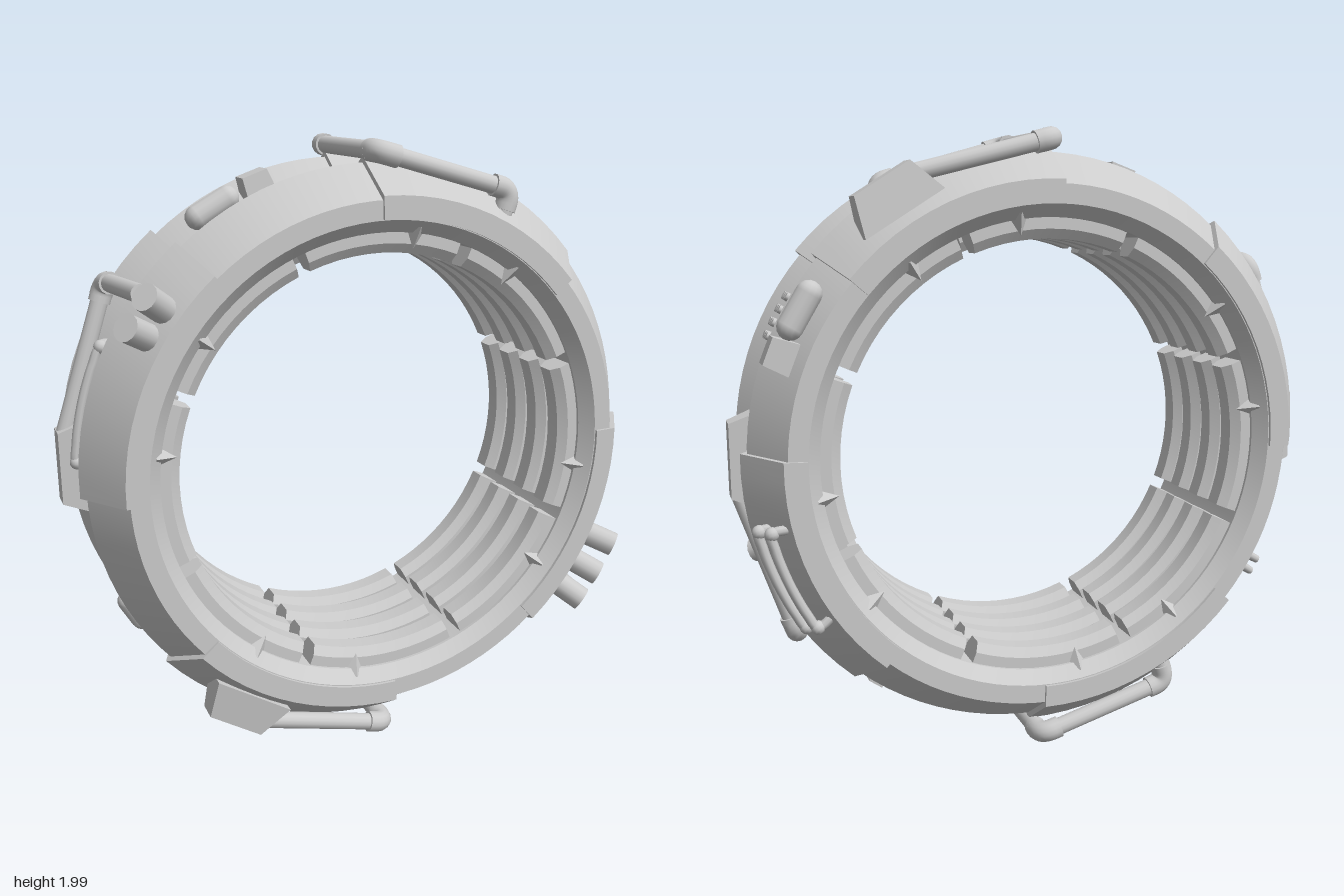
import * as THREE from 'three';
import { toCreasedNormals } from 'three/addons/utils/BufferGeometryUtils.js';

const grey = new THREE.MeshStandardMaterial({ color: 0xcccccc, side: THREE.DoubleSide });
const CY = 1; // height of the ring axis
const rad = THREE.MathUtils.degToRad;
const V = (x, y, z) => new THREE.Vector3(x, y, z);
const polar = (deg, r, z) => V(r * Math.cos(rad(deg)), r * Math.sin(rad(deg)), z);

function add(parent, name, geometry) {
  const m = new THREE.Mesh(geometry, grey);
  m.name = name;
  parent.add(m);
  return m;
}

// Sweeps a closed (radius, z) profile, counter-clockwise, from angle a0 to a1
function arc(profile, a0, a1, steps, capped = true) {
  const pos = [], n = profile.length;
  const put = (i, a) => pos.push(...polar(a, profile[i % n][0], profile[i % n][1]).toArray());
  for (let s = 0; s < steps; s++) {
    const a = a0 + (a1 - a0) * s / steps, b = a0 + (a1 - a0) * (s + 1) / steps;
    for (let i = 0; i < n; i++) {
      put(i, a); put(i, b); put(i + 1, b);
      put(i, a); put(i + 1, b); put(i + 1, a);
    }
  }
  if (capped) {
    const pts = profile.map(p => new THREE.Vector2(...p));
    for (const [i, j, k] of THREE.ShapeUtils.triangulateShape(pts, [])) {
      put(i, a0); put(j, a0); put(k, a0);
      put(i, a1); put(k, a1); put(j, a1);
    }
  }
  const g = new THREE.BufferGeometry();
  g.setAttribute('position', new THREE.Float32BufferAttribute(pos, 3));
  return toCreasedNormals(g, 0.35);
}

// Places a mesh on the ring: local y points outward, local x runs clockwise
function seat(mesh, deg, r, z) {
  mesh.position.copy(polar(deg, r, z));
  mesh.rotation.z = rad(deg - 90);
  return mesh;
}

// Box whose outer face is smaller than its base
function wedge(len, h, w, taper = 0.75) {
  const g = new THREE.BoxGeometry(len, h, w), p = g.attributes.position;
  for (let i = 0; i < p.count; i++) {
    if (p.getY(i) > 0) p.setXYZ(i, p.getX(i) * taper, p.getY(i), p.getZ(i) * taper);
  }
  return toCreasedNormals(g, 0.2);
}

function rod(parent, name, a, b, r) {
  const m = add(parent, name, new THREE.CylinderGeometry(r, r, a.distanceTo(b), 14));
  m.position.copy(a).add(b).multiplyScalar(0.5);
  m.quaternion.setFromUnitVectors(V(0, 1, 0), b.clone().sub(a).normalize());
  return m;
}

// Straight pipe runs joined by thicker elbows
function pipe(parent, name, pts, r, bend) {
  const g = new THREE.Group();
  g.name = name;
  let from = pts[0];
  for (let i = 1; i < pts.length; i++) {
    if (i === pts.length - 1) { rod(g, 'pipeRun', from, pts[i], r); break; }
    const din = pts[i].clone().sub(pts[i - 1]).normalize();
    const dout = pts[i + 1].clone().sub(pts[i]).normalize();
    const a = pts[i].clone().addScaledVector(din, -bend);
    const b = pts[i].clone().addScaledVector(dout, bend);
    rod(g, 'pipeRun', from, a, r);
    const R = r * 1.25;
    add(g, 'pipeElbow', new THREE.TubeGeometry(new THREE.QuadraticBezierCurve3(a, pts[i], b), 8, R, 14));
    rod(g, 'pipeCollar', a.clone().addScaledVector(din, -0.02), a, R);
    rod(g, 'pipeCollar', b, b.clone().addScaledVector(dout, 0.02), R);
    from = b;
  }
  parent.add(g);
}

// Slim curved grab rail that follows the ring
function rail(parent, a0, a1, r, z) {
  const pts = [polar(a0, r - 0.05, z), polar(a0, r, z)];
  for (let i = 1; i < 6; i++) pts.push(polar(a0 + (a1 - a0) * i / 6, r + 0.004, z));
  pts.push(polar(a1, r, z), polar(a1, r - 0.05, z));
  add(parent, 'grabRail', new THREE.TubeGeometry(new THREE.CatmullRomCurve3(pts, false, 'centripetal'), 40, 0.015, 8));
  for (const a of [a0, a1]) seat(add(parent, 'railFoot', new THREE.SphereGeometry(0.022, 12, 8)), a, r, z);
}

// Grid of small studs
function studs(parent, deg, r, z, cols, rows) {
  for (let i = 0; i < cols; i++) for (let j = 0; j < rows; j++) {
    const m = add(parent, 'stud', new THREE.CylinderGeometry(0.013, 0.016, 0.05, 8));
    seat(m, deg + (j - (rows - 1) / 2) * 2.9, r, z + (i - (cols - 1) / 2) * 0.03);
  }
}

// Capsule-like canister lying along the ring, with a block beside it
function canister(parent, deg, r, z, blockDeg) {
  const m = seat(add(parent, 'canister', new THREE.CapsuleGeometry(0.04, 0.11, 4, 14)), deg, r, z);
  m.rotation.z += Math.PI / 2;
  seat(add(parent, 'canisterBlock', wedge(0.1, 0.08, 0.09, 0.85)), blockDeg, r, z);
}

export function createModel() {
  const model = new THREE.Group();
  model.name = 'ringStation';
  const ring = new THREE.Group();
  ring.name = 'ring';
  ring.position.y = CY;
  model.add(ring);

  // Inner body with a double-ridged rim
  const zc = -0.01;
  const hull = (inner, edge, peak, valley, half) => [
    [inner, zc - half], [edge, zc - half], [peak, zc - 0.16], [valley, zc - 0.018],
    [valley, zc + 0.018], [peak, zc + 0.16], [edge, zc + half], [inner, zc + half]];
  const body = hull(0.765, 0.825, 0.925, 0.83, 0.31);
  body.push([0.725, zc + 0.27], [0.725, zc - 0.27]);
  add(ring, 'ringBody', arc(body, 0, 360, 96, false));

  for (let q = 0; q < 4; q++) {
    // Raised armour plates
    add(ring, 'armourPlate', arc(hull(0.768, 0.838, 0.945, 0.848, 0.32), 41 + q * 90, 92 + q * 90, 12));
    // Pointed teeth inside both rims
    for (const a of [53, 82]) for (const z of [-0.27, 0.25]) {
      const t = seat(add(ring, 'innerTooth', toCreasedNormals(new THREE.ConeGeometry(0.035, 0.07, 4), 0.2)), a + q * 90, 0.71, z);
      t.rotation.z += Math.PI;
    }
  }

  // Segmented ribs lining the bore
  for (const z of [-0.22, -0.08, 0.06, 0.2]) for (let k = 0; k < 8; k++) {
    const a = 22.5 + k * 45;
    const rib = [[0.66, z - 0.03], [0.69, z - 0.05], [0.735, z - 0.05], [0.735, z + 0.05], [0.69, z + 0.05], [0.66, z + 0.03]];
    add(ring, 'boreRib', arc(rib, a + 1.7, a + 43.3, 10));
  }

  // Large pipe handles at top and bottom
  for (const s of [1, -1]) {
    const p = (x, y, z) => V(s * x, s * y, s * z + zc);
    pipe(ring, s > 0 ? 'topHandle' : 'bottomHandle', [
      p(0.4, 0.74, 0.255), p(0.43, 0.835, 0.255), p(-0.02, 0.962, 0.255),
      p(-0.02, 0.962, -0.245), p(0.45, 0.845, -0.245)], 0.028, 0.045);
    seat(add(ring, 'handleHousing', wedge(0.28, 0.12, 0.11, 0.7)), s > 0 ? 58 : 238, 0.925, zc - s * 0.24);
  }

  // Side conduits with a housing and a row of nozzles
  for (const s of [0, 1]) {
    const side = new THREE.Group();
    side.name = s ? 'rightConduit' : 'leftConduit';
    side.rotation.z = s * Math.PI;
    ring.add(side);
    seat(add(side, 'conduitHousing', wedge(0.31, 0.1, 0.1, 0.75)), 0, 0.92, -0.085);
    pipe(side, 'conduit', [V(0.945, -0.1, -0.09), V(0.785, -0.57, -0.11), V(0.755, -0.59, 0.27)], 0.028, 0.045);
    for (const a of s ? [-38, -32] : [-38.5, -32, -25]) {
      const c = polar(a, 0.91, 0.28), d = polar(a, 0.045, 0.03);
      rod(side, 'nozzle', c.clone().sub(d), c.clone().add(d), 0.042);
    }
  }

  // Grab rails
  for (const z of [-0.24, -0.3]) rail(ring, -12, -33, z < -0.27 ? 0.895 : 0.925, z);
  for (const z of [0.03, 0.065, 0.1]) rail(ring, 154, 176, 0.9 + z * 0.4, z);

  // Small surface fittings
  canister(ring, 31, 0.895, -0.265, 22);
  canister(ring, 119.5, 0.9, -0.08, 109.5);
  studs(ring, 28, 0.88, 0.06, 3, 4);
  studs(ring, 248, 0.9, 0.06, 3, 4);
  studs(ring, 211, 0.865, -0.25, 2, 2);
  seat(add(ring, 'smallBlock', wedge(0.06, 0.08, 0.09, 0.85)), -54.5, 0.9, -0.095);
  const lower = seat(add(ring, 'lowerCanister', new THREE.CapsuleGeometry(0.035, 0.08, 4, 14)), 210, 0.91, 0.08);
  lower.rotation.z += Math.PI / 2;

  return model;
}
